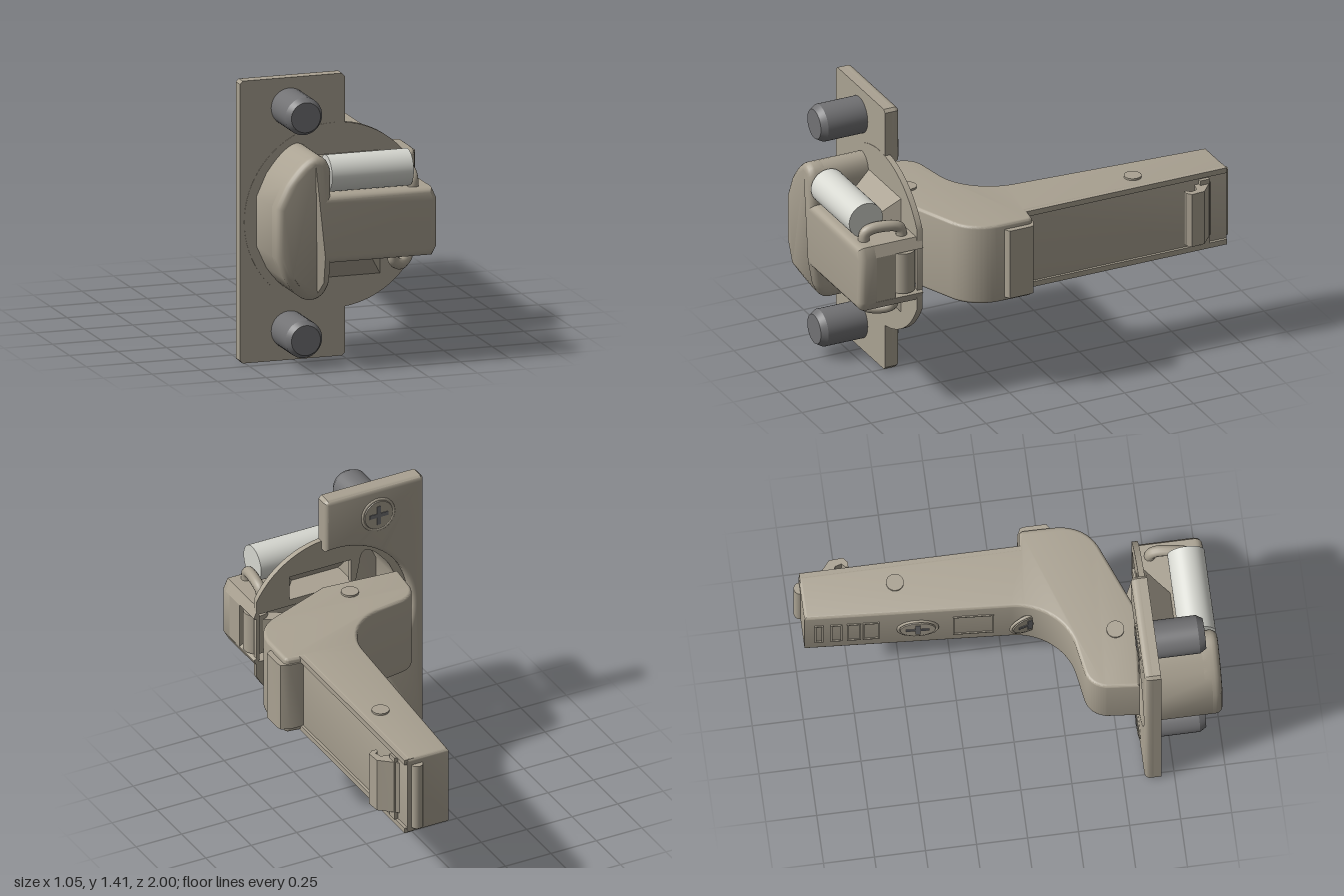
import * as THREE from 'three';
import { toCreasedNormals } from 'three/addons/utils/BufferGeometryUtils.js';

const MID = 0.705; // height of the horizontal symmetry plane
const body = new THREE.MeshStandardMaterial({ color: 0xaaa292, side: THREE.DoubleSide });
const dark = new THREE.MeshStandardMaterial({ color: 0x727274 });
const pale = new THREE.MeshStandardMaterial({ color: 0xd6d7d0 });

const v2 = (list) => list.map(([x, y]) => new THREE.Vector2(x, y));
const v3 = (list) => list.map((p) => new THREE.Vector3(...p));

// Extrude a shape along z from z0 to z1; the bevel stays inside the outline
function slab(shape, z0, z1, bevel = 0) {
  const geo = new THREE.ExtrudeGeometry(shape, {
    depth: z1 - z0 - 2 * bevel, bevelEnabled: bevel > 0, bevelThickness: bevel,
    bevelSize: bevel, bevelOffset: -bevel, bevelSegments: 4, curveSegments: 32,
  });
  return toCreasedNormals(geo.translate(0, 0, z0 + bevel), 0.6);
}

// Extrude a plan shape, drawn as (x, -z), upwards from y0 to y1
const upright = (shape, y0, y1, bevel) => slab(shape, y0, y1, bevel).rotateX(-Math.PI / 2);
const plan = (list) => new THREE.Shape(v2(list.map(([x, z]) => [x, -z])));

// Offset an open polyline to its left by d
function inset(points, d) {
  return points.map((p, i) => {
    const a = points[Math.max(i - 1, 0)], b = points[Math.min(i + 1, points.length - 1)];
    const t = b.clone().sub(a).normalize();
    return new THREE.Vector2(p.x - t.y * d, p.y + t.x * d);
  });
}

export function createModel() {
  const root = new THREE.Group();
  const add = (name, geo, mat = body, parent = root) => {
    const mesh = new THREE.Mesh(geo, mat);
    mesh.name = name;
    parent.add(mesh);
    return mesh;
  };
  const box = (name, x0, x1, y0, y1, z0, z1, mat) =>
    add(name, new THREE.BoxGeometry(x1 - x0, y1 - y0, z1 - z0)
      .translate((x0 + x1) / 2, (y0 + y1) / 2, (z0 + z1) / 2), mat);
  const post = (name, x, z, r, y0, y1) =>
    add(name, new THREE.CylinderGeometry(r, r, y1 - y0, 32).translate(x, (y0 + y1) / 2, z));

  // Cross-slotted screw head facing +z
  function screw(name, r) {
    const g = new THREE.Group();
    g.name = name;
    add('screwRim', new THREE.TorusGeometry(r, 0.008, 8, 32), body, g);
    add('screwHead', new THREE.CylinderGeometry(r * 0.9, r, 0.02, 32).rotateX(Math.PI / 2), body, g);
    for (const [w, h] of [[1.2, 0.25], [0.25, 1.2]])
      add('screwSlot', new THREE.BoxGeometry(r * w, r * h, 0.006).translate(0, 0, 0.01), dark, g);
    root.add(g);
    return g;
  }

  // Mounting plate with a round cut-out, rounded on the back
  const plate = new THREE.Shape();
  plate.moveTo(0.015, 1.395).lineTo(0, 1.41).lineTo(-0.51, 1.41).lineTo(-0.525, 1.395);
  plate.lineTo(-0.525, 0.015).lineTo(-0.51, 0).lineTo(0, 0).lineTo(0.015, 0.015);
  plate.absarc(-0.04, MID, 0.42, -1.44, 1.44, true);
  add('mountingPlate', slab(plate, 0.645, 0.685));
  add('mountingPlateBack', slab(plate, 0.605, 0.67, 0.024));

  // Cup outline: a crescent with a bar, running clockwise seen from the front
  const cup = new THREE.Shape();
  cup.moveTo(0.385, 0.585).lineTo(0.36, 0.54).lineTo(-0.16, 0.54).lineTo(-0.16, 0.44);
  cup.quadraticCurveTo(-0.165, 0.345, -0.235, 0.34);
  cup.quadraticCurveTo(-0.3, 0.34, -0.39, 0.47).lineTo(-0.44, 0.58);
  cup.lineTo(-0.44, 0.83).lineTo(-0.39, 0.94);
  cup.quadraticCurveTo(-0.3, 1.07, -0.235, 1.08);
  cup.quadraticCurveTo(-0.165, 1.075, -0.16, 0.98).lineTo(-0.16, 0.88);
  cup.lineTo(0.36, 0.88).lineTo(0.385, 0.825);
  const outer = cup.getPoints(6);
  const inner = inset(outer, -0.035);
  const wall = new THREE.Shape([...outer, ...inner.slice().reverse()]);

  // The lower horn of the cup slopes back
  const slopeBack = (geo) => {
    const p = geo.attributes.position;
    for (let i = 0; i < p.count; i++)
      if (p.getZ(i) > 0.8 && p.getY(i) < 0.48) p.setZ(i, p.getZ(i) - (0.48 - p.getY(i)) * 0.6);
    geo.deleteAttribute('normal');
    return toCreasedNormals(geo, 0.6);
  };
  add('cupFront', slopeBack(slab(new THREE.Shape(outer), 0.88, 1, 0.035)));
  add('cupWall', slopeBack(slab(wall, 0.66, 0.95)));
  box('cupEnd', 0.345, 0.384, 0.585, 0.825, 0.81, 0.95);

  // Thin round flange, open behind the cup and the two side pockets
  const flange = new THREE.Shape();
  flange.absarc(-0.04, MID, 0.463, 0.483, 2 * Math.PI - 0.483);
  flange.holes.push(new THREE.Path(inner));
  for (const m of [(y) => y, (y) => 2 * MID - y]) {
    flange.holes.push(new THREE.Path(v2([
      [-0.15, m(0.4)], [0.19, m(0.4)], [0.19, m(0.53)], [-0.15, m(0.53)]])));
    const a = [-0.16, m(0.39), 0.68], b = [0.2, m(0.39), 0.68], c = [0.09, m(0.54), 0.82];
    const d = [-0.16, m(0.54), 0.82], e = [0.2, m(0.54), 0.68];
    const tris = [[a, c, b], [a, d, c], [b, c, e]];
    if (m(0) > 0) tris.forEach((t) => t.reverse());
    const pocket = new THREE.BufferGeometry();
    pocket.setAttribute('position', new THREE.Float32BufferAttribute(tris.flat(2), 3));
    pocket.computeVertexNormals();
    add('sidePocket', pocket);
  }
  add('flange', slab(flange, 0.657, 0.687));

  // Damper and the wire pin bent over the bar
  add('damper', new THREE.CylinderGeometry(0.091, 0.091, 0.42, 40).rotateZ(Math.PI / 2)
    .translate(0.05, 0.973, 0.909), pale);
  const wire = (pts) => new THREE.TubeGeometry(new THREE.CatmullRomCurve3(v3(pts)), 32, 0.028, 12);
  add('wirePinTop', wire([[0.3, 0.84, 0.735], [0.3, 0.915, 0.745], [0.3, 0.935, 0.78],
    [0.285, 0.935, 0.89], [0.28, 0.915, 0.925], [0.28, 0.84, 0.93]]));
  add('wirePinBottom', wire([[0.185, 0.57, 0.9], [0.19, 0.51, 0.9], [0.22, 0.487, 0.89],
    [0.27, 0.487, 0.83], [0.3, 0.51, 0.79], [0.3, 0.57, 0.78]]));

  // Knuckle and links joining the cup to the arm
  post('knuckle', 0.33, 0.745, 0.06, 0.6, 0.815);
  add('outerLink', upright(plan([[0.02, 0.58], [0.06, 0.56], [0.35, 0.7], [0.32, 0.77]]), 0.62, 0.79));
  add('innerLink', upright(plan([[-0.2, 0.57], [-0.13, 0.57], [-0.05, 0.85], [-0.12, 0.86]]), 0.57, 0.84));

  // Dowels with a chamfered tip, and a screw head behind each
  for (const y of [0.15, 1.263]) {
    const profile = v2([[0, 0], [0.094, 0], [0.094, 0.215], [0.075, 0.247], [0, 0.247]]);
    add('dowel', toCreasedNormals(new THREE.LatheGeometry(profile, 40).rotateX(Math.PI / 2), 0.5)
      .translate(-0.27, y, 0.682), dark);
    const s = screw('plateScrew', 0.085);
    s.position.set(-0.27, y, 0.606);
    s.rotation.y = Math.PI;
  }

  // Cranked arm
  const arm = new THREE.Shape();
  arm.moveTo(0.18, 0.97).lineTo(0.405, 0.97).lineTo(0.407, -0.11).lineTo(0.48, -0.12);
  arm.quadraticCurveTo(0.497, -0.125, 0.497, -0.15).lineTo(0.495, -0.31);
  arm.quadraticCurveTo(0.48, -0.45, 0.36, -0.5).lineTo(0.02, -0.635).lineTo(-0.375, -0.6);
  arm.lineTo(-0.36, -0.44).quadraticCurveTo(-0.34, -0.35, -0.25, -0.34);
  arm.lineTo(-0.12, -0.318).bezierCurveTo(0.02, -0.29, 0.11, -0.16, 0.115, -0.03);
  add('arm', upright(arm, 0.5, 0.92, 0.016));
  for (const y of [0.502, 0.89]) box('armEdge', 0.37, 0.42, y, y + 0.028, -0.965, 0.13);
  for (const [x, z] of [[0.31, -0.51], [-0.07, 0.52]]) post('rivet', x, z, 0.043, 0.49, 0.93);

  // Catch at the far end and the stepped flap at the bend
  post('endTab', 0.355, -0.97, 0.03, 0.53, 0.885);
  add('hook', upright(plan([[0.39, -0.9], [0.42, -0.87], [0.49, -0.81], [0.495, -0.74], [0.47, -0.72],
    [0.445, -0.72], [0.445, -0.735], [0.465, -0.75], [0.455, -0.785], [0.39, -0.8]]), 0.57, 0.855));
  box('hookBar', 0.39, 0.425, 0.53, 0.88, -0.87, -0.82);
  add('flap', upright(plan([[0.4, 0.105], [0.48, 0.11], [0.52, 0.13], [0.525, 0.15],
    [0.525, 0.26], [0.5, 0.275], [0.48, 0.275]]), 0.525, 0.89));

  // Details along the outer face of the arm
  const faceX = (z) => 0.115 + (0.03 - z) * 0.065;
  const frame = (name, z, w, h) => {
    const s = new THREE.Shape(v2([[-w, -h], [w, -h], [w, h], [-w, h]]));
    const t = 0.009;
    s.holes.push(new THREE.Path(v2([[t - w, t - h], [w - t, t - h], [w - t, h - t], [t - w, h - t]])));
    const m = add(name, slab(s, -0.01, 0.006));
    m.position.set(faceX(z), MID, z);
    m.rotation.y = -Math.PI / 2 - 0.065;
  };
  for (let i = 0; i < 4; i++) frame('vent', -0.9 + i * 0.085, 0.022 + i * 0.006, 0.11);
  frame('window', -0.15, 0.1, 0.12);
  for (const [x, z, turn] of [[0.142, -0.42, -0.065], [0.098, 0.12, 0.25]]) {
    const s = screw('armScrew', 0.095);
    s.position.set(x, MID, z);
    s.rotation.y = -Math.PI / 2 + turn;
  }
  return root;
}
